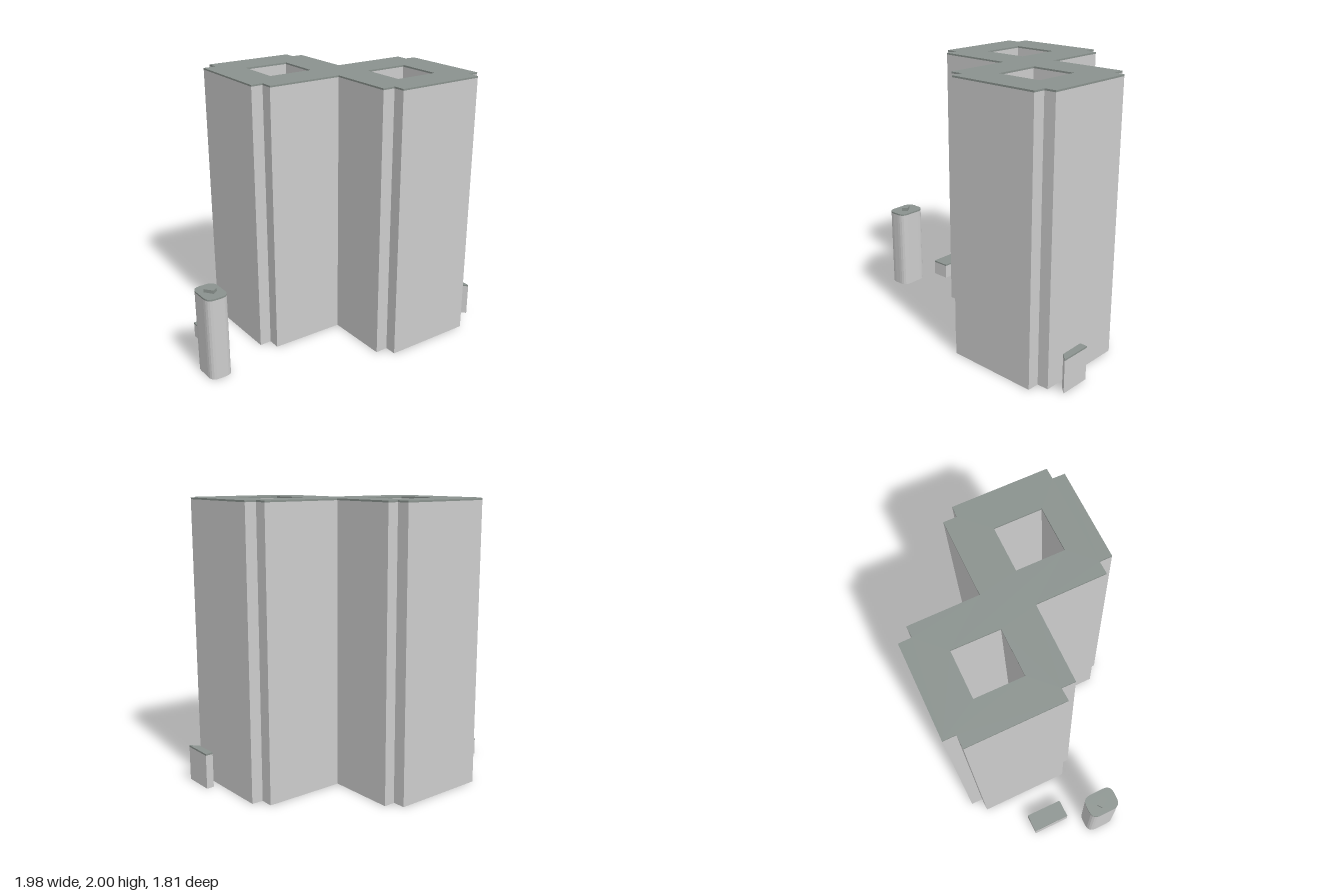
import * as THREE from 'three';

const wall = new THREE.MeshStandardMaterial({ color: 0xcccccc, side: THREE.DoubleSide });
wall.name = 'wallGrey';
const roof = new THREE.MeshStandardMaterial({ color: 0x8a928e });
roof.name = 'roofGreyGreen';

const ROOF = 0.012;

// Plans are drawn as [x, z]; the shape's y is -z so that extrusion rises along +y.
// Outlines run anticlockwise in the shape, courtyards clockwise.
const points = (plan) => plan.map(([x, z]) => new THREE.Vector2(x, -z));
const outline = (plan) => new THREE.Shape(points(plan).reverse());

// Plan with each corner rounded off by a curve
function roundedOutline(plan, radius) {
  const p = points(plan).reverse();
  const shape = new THREE.Shape();
  p.forEach((corner, i) => {
    const before = p[(i + p.length - 1) % p.length];
    const after = p[(i + 1) % p.length];
    const a = corner.clone().add(before.clone().sub(corner).setLength(radius));
    const b = corner.clone().add(after.clone().sub(corner).setLength(radius));
    if (i === 0) shape.moveTo(a.x, a.y);
    else shape.lineTo(a.x, a.y);
    shape.quadraticCurveTo(corner.x, corner.y, b.x, b.y);
  });
  shape.closePath();
  return shape;
}

// Solid slab of the given plan
function slab(name, shape, base, height) {
  const geometry = new THREE.ExtrudeGeometry(shape, { depth: height, bevelEnabled: false, curveSegments: 5 });
  geometry.rotateX(-Math.PI / 2);
  geometry.translate(0, base, 0);
  const mesh = new THREE.Mesh(geometry, roof);
  mesh.name = name;
  return mesh;
}

// Upright walls around the outline and courtyards, open at the bottom
function walls(name, shape, height) {
  const positions = [];
  for (const path of [shape, ...shape.holes]) {
    const loop = path.getPoints(5);
    loop.forEach((a, i) => {
      const b = loop[(i + 1) % loop.length];
      if (a.distanceTo(b) < 1e-6) return;
      positions.push(
        a.x, 0, -a.y, b.x, 0, -b.y, b.x, height, -b.y,
        a.x, 0, -a.y, b.x, height, -b.y, a.x, height, -a.y
      );
    });
  }
  const geometry = new THREE.BufferGeometry();
  geometry.setAttribute('position', new THREE.Float32BufferAttribute(positions, 3));
  geometry.computeVertexNormals();
  const mesh = new THREE.Mesh(geometry, wall);
  mesh.name = name;
  return mesh;
}

// Walls topped by a thin roof slab of the same plan
function building(name, shape, height) {
  const group = new THREE.Group();
  group.name = name;
  group.add(
    walls(name + 'Walls', shape, height - ROOF),
    slab(name + 'Roof', shape, height - ROOF, ROOF)
  );
  return group;
}

export function createModel() {
  const model = new THREE.Group();
  model.name = 'towerBlock';

  // Twin tower with notched corners and two open courtyards
  const tower = outline([
    [-0.585, -0.711], [-0.51, -0.658], [-0.463, -0.726], [-0.063, -0.432],
    [0.277, -0.898], [0.353, -0.842], [0.403, -0.905], [0.952, -0.497],
    [0.903, -0.427], [0.974, -0.373], [0.572, 0.177], [0.499, 0.124],
    [0.444, 0.202], [0.044, -0.092], [-0.291, 0.362], [-0.368, 0.304],
    [-0.418, 0.379], [-0.97, -0.028], [-0.915, -0.106], [-0.988, -0.16]
  ]);
  tower.holes = [
    [[-0.473, -0.407], [-0.203, -0.203], [-0.403, 0.077], [-0.677, -0.128]],
    [[0.392, -0.587], [0.667, -0.383], [0.467, -0.108], [0.192, -0.313]]
  ].map((plan) => new THREE.Path(points(plan)));
  // Explicit closing keeps the loops' direction: courtyards run against the outline
  model.add(building('tower', tower, 2));

  // Low annex by the front
  model.add(building('annex', outline([
    [-0.873, 0.303], [-0.648, 0.472], [-0.725, 0.584], [-0.953, 0.417]
  ]), 0.122));

  // Narrow shed behind the back corner
  model.add(building('shed', outline([
    [0.8, -0.743], [0.988, -0.603], [0.92, -0.59], [0.769, -0.698]
  ]), 0.255));

  // Rounded turret with a small roof box
  model.add(building('turret', roundedOutline([
    [-0.643, 0.654], [-0.455, 0.79], [-0.555, 0.928], [-0.743, 0.792]
  ], 0.062), 0.635));
  model.add(slab('turretRoofBox', outline([
    [-0.637, 0.769], [-0.561, 0.769], [-0.561, 0.817], [-0.637, 0.817]
  ]), 0.635, 0.025));

  return model;
}
